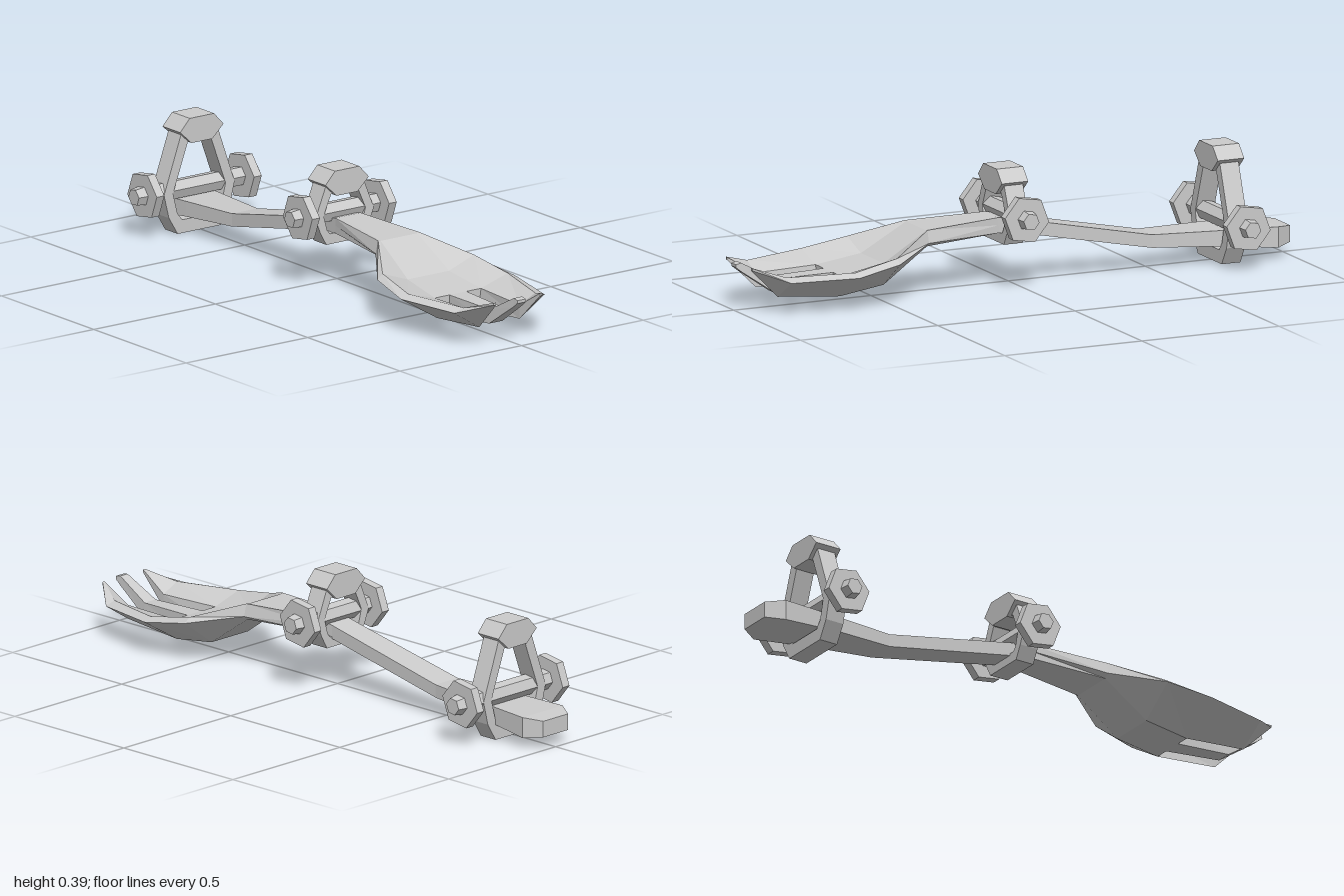
import * as THREE from 'three';

const material = new THREE.MeshStandardMaterial({ color: 0xcccccc, flatShading: true });

function addMesh(parent, name, geometry) {
  const mesh = new THREE.Mesh(geometry, material);
  mesh.name = name;
  parent.add(mesh);
  return mesh;
}

// Skins closed outlines (counter-clockwise seen from +z), listed from back to front.
function loft(sections) {
  const pos = [];
  const n = sections[0].pts.length;
  const put = (s, i) => pos.push(s.pts[i % n][0], s.pts[i % n][1], s.z);
  for (let k = 0; k < sections.length - 1; k++) {
    const a = sections[k], b = sections[k + 1];
    for (let i = 0; i < n; i++) {
      put(a, i); put(a, i + 1); put(b, i + 1);
      put(a, i); put(b, i + 1); put(b, i);
    }
  }
  const first = sections[0], last = sections[sections.length - 1];
  for (let i = 1; i < n - 1; i++) {
    put(first, 0); put(first, i + 1); put(first, i);
    put(last, 0); put(last, i); put(last, i + 1);
  }
  const g = new THREE.BufferGeometry();
  g.setAttribute('position', new THREE.Float32BufferAttribute(pos, 3));
  g.computeVertexNormals();
  return g;
}

const mirrorX = pts => pts.map(([x, y]) => [-x, y]).reverse();

// Symmetric outline: bottom, rim outside, rim inside, floor of the bowl.
function bodySection(z, bottom, outer, inner, floor) {
  const half = [bottom, outer, inner, floor];
  return { z, pts: [[0, bottom[1]], ...half, ...mirrorX(half)] };
}

function handleSection(z, w, yBottom, yTop) {
  return bodySection(z, [w, yBottom], [w, (yBottom + yTop) / 2], [w, yTop], [w * 0.6, yTop]);
}

// Six-sided disc or rod lying along x.
function hexRod(rStart, rEnd, length) {
  return new THREE.CylinderGeometry(rEnd, rStart, length, 6)
    .rotateZ(-Math.PI / 2).rotateX(-0.16);
}

function slab(points, depth, hole) {
  const toVectors = pts => pts.map(p => new THREE.Vector2(...p));
  const shape = new THREE.Shape(toVectors(points));
  if (hole) shape.holes.push(new THREE.Path(toVectors(hole)));
  return new THREE.ExtrudeGeometry(shape, { depth, bevelEnabled: false }).translate(0, 0, -depth / 2);
}

const symmetric = right => [...right, ...mirrorX(right)];

// Frame clamped round the handle, with its cap, axle and two wheels.
function wheelSet(name, z, axleY, axleHalf, wheelX, outer, hole) {
  const set = new THREE.Group();
  set.name = name;
  set.position.z = z;
  addMesh(set, 'frame', slab(symmetric(outer), 0.068, symmetric(hole))).position.x = -0.006;
  const cap = symmetric([[0.043, 0.305], [0.089, 0.348], [0.05, 0.39]]);
  addMesh(set, 'cap', slab(cap, 0.096)).position.x = -0.006;

  const shoulder = axleHalf - 0.033;
  addMesh(set, 'axle', hexRod(0.034, 0.034, shoulder * 2)).position.y = axleY;
  for (const side of [-1, 1]) {
    const tip = side > 0 ? hexRod(0.034, 0.029, 0.033) : hexRod(0.029, 0.034, 0.033);
    addMesh(set, 'axleEnd', tip).position.set(side * (shoulder + 0.0165), axleY, 0);
    addMesh(set, 'wheel', hexRod(0.081, 0.081, 0.031)).position.set(side * wheelX, axleY, 0);
  }
  return set;
}

export function createModel() {
  const model = new THREE.Group();
  model.name = 'wheeledSpork';

  // Handle and bowl in one skin
  addMesh(model, 'handleAndBowl', loft([
    handleSection(-1, 0.058, 0.045, 0.1),
    handleSection(-0.94, 0.094, 0.038, 0.108),
    handleSection(-0.72, 0.075, 0.06, 0.112),
    handleSection(-0.5, 0.052, 0.072, 0.116),
    handleSection(-0.02, 0.046, 0.168, 0.214),
    handleSection(0.06, 0.052, 0.177, 0.229),
    bodySection(0.335, [0.08, 0.165], [0.096, 0.178], [0.085, 0.22], [0.075, 0.218]),
    bodySection(0.495, [0.085, 0.053], [0.21, 0.145], [0.188, 0.162], [0.085, 0.125]),
    bodySection(0.655, [0.085, 0.03], [0.235, 0.12], [0.205, 0.133], [0.095, 0.1]),
  ]));

  // Middle tine
  const tineSection = (z, wBottom, wTop, yBottom, yTop) =>
    ({ z, pts: symmetric([[wBottom, yBottom], [wTop, yTop]]) });
  addMesh(model, 'middleTine', loft([
    tineSection(0.655, 0.035, 0.035, 0.03, 0.1),
    tineSection(0.86, 0.028, 0.026, 0.048, 0.096),
    tineSection(0.98, 0.019, 0.017, 0.13, 0.16),
    tineSection(1, 0.018, 0.017, 0.146, 0.156),
  ]));

  // Outer tines, mirrored
  const sideTine = [
    { z: 0.655, pts: [[0.085, 0.03], [0.235, 0.12], [0.205, 0.133], [0.095, 0.1]] },
    { z: 0.88, pts: [[0.083, 0.05], [0.186, 0.115], [0.147, 0.127], [0.083, 0.097]] },
    { z: 0.98, pts: [[0.09, 0.148], [0.1, 0.15], [0.1, 0.158], [0.09, 0.158]] },
  ];
  addMesh(model, 'leftTine', loft(sideTine));
  addMesh(model, 'rightTine', loft(sideTine.map(({ z, pts }) => ({ z, pts: mirrorX(pts) }))));

  // Wheel sets
  model.add(wheelSet('frontWheelSet', 0.015, 0.24, 0.207, 0.158,
    [[0.075, 0.14], [0.1, 0.185], [0.12, 0.235], [0.075, 0.345]],
    [[0.06, 0.175], [0.072, 0.19], [0.086, 0.24], [0.055, 0.31]]));
  model.add(wheelSet('rearWheelSet', -0.772, 0.143, 0.25, 0.2,
    [[0.089, 0], [0.125, 0.06], [0.145, 0.14], [0.072, 0.345]],
    [[0.07, 0.045], [0.09, 0.07], [0.108, 0.14], [0.046, 0.31]]));

  return model;
}
